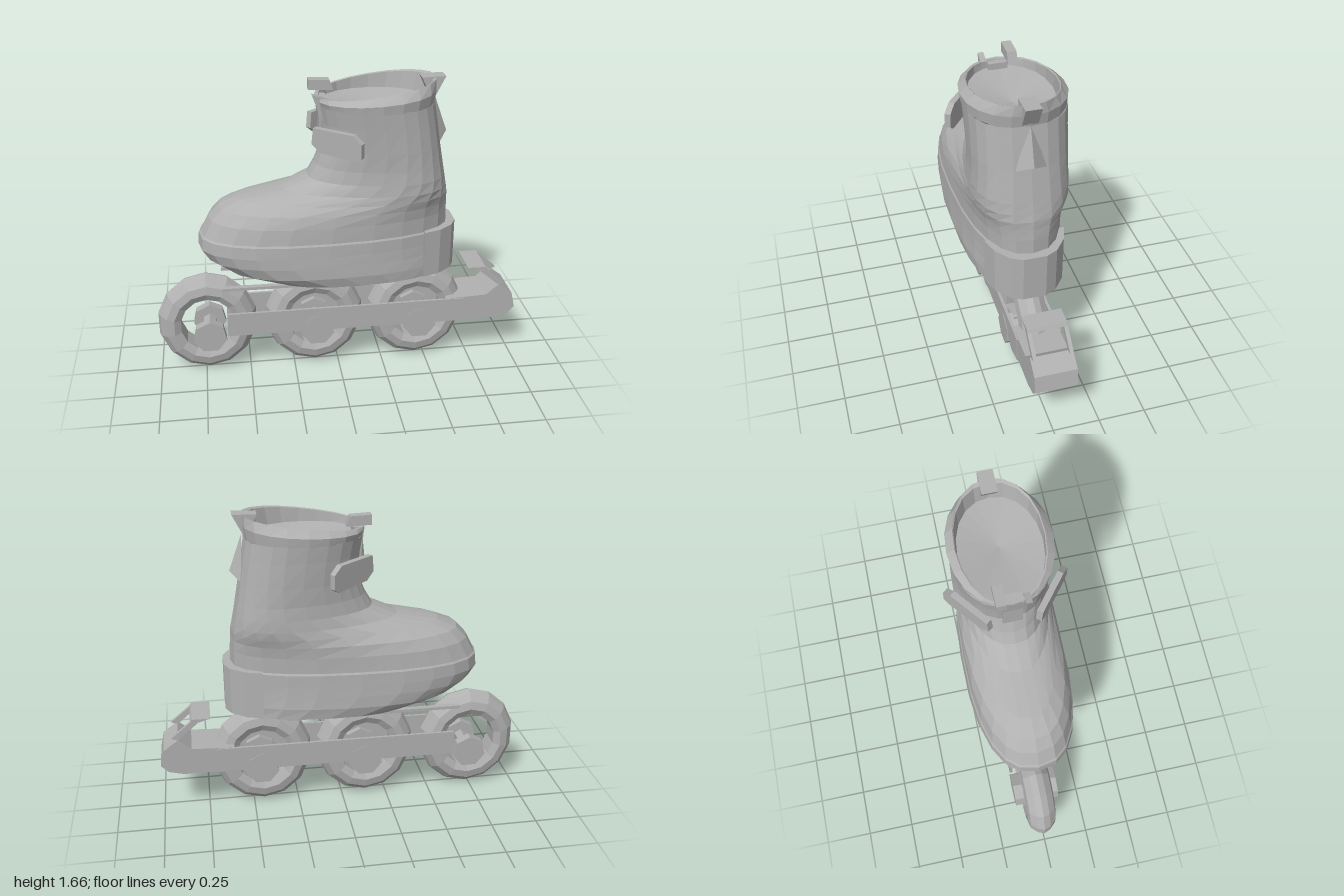
import * as THREE from 'three';
import { ConvexGeometry } from 'three/addons/geometries/ConvexGeometry.js';

const grey = new THREE.MeshStandardMaterial({ color: 0xb0b0b0 });
grey.name = 'plain grey';
grey.flatShading = true;
grey.side = THREE.DoubleSide;

const Z = -0.008; // the chassis centre line

function add(parent, name, geometry, x = 0, y = 0, z = 0) {
  const mesh = new THREE.Mesh(geometry, grey);
  mesh.name = name;
  mesh.position.set(x, y, z);
  parent.add(mesh);
  return mesh;
}

// Loft of rounded loops: [y, front x, back x, front half width, back half width, tilt]
function loft(rings, sides, power) {
  const pos = [], idx = [];
  const bend = (v) => Math.sign(v) * Math.abs(v) ** power;
  for (const [y, xf, xb, wf, wb, tilt = 0] of rings) {
    for (let j = 0; j < sides; j++) {
      const a = (j / sides) * Math.PI * 2;
      const c = bend(Math.cos(a)), s = bend(Math.sin(a));
      pos.push((xf + xb) / 2 + c * (xb - xf) / 2, y + tilt * c, s * (wf + (wb - wf) * (c + 1) / 2));
    }
  }
  for (let i = 0; i < rings.length - 1; i++) {
    for (let j = 0; j < sides; j++) {
      const k = (j + 1) % sides;
      const a = i * sides + j, b = i * sides + k, c = a + sides, d = b + sides;
      idx.push(a, c, b, b, c, d);
    }
  }
  const g = new THREE.BufferGeometry();
  g.setAttribute('position', new THREE.Float32BufferAttribute(pos, 3));
  g.setIndex(idx);
  g.computeVertexNormals();
  return g;
}

// Side profile in x and y, extruded along z and centred
function slab(points, depth) {
  const shape = new THREE.Shape(points.map(([x, y]) => new THREE.Vector2(x, y)));
  return new THREE.ExtrudeGeometry(shape, { depth, bevelEnabled: false }).translate(0, 0, -depth / 2);
}

function makeBoot() {
  const boot = new THREE.Group();
  boot.name = 'boot';

  // Sole, toe, instep and shaft
  add(boot, 'bootShell', loft([
    [0.595, 0.05, 0.1, 0.01, 0.01],
    [0.595, -0.4, 0.595, 0.28, 0.235],
    [0.655, -0.61, 0.605, 0.3, 0.25],
    [0.72, -0.71, 0.605, 0.3, 0.25],
    [0.78, -0.75, 0.605, 0.295, 0.25],
    [0.845, -0.745, 0.605, 0.29, 0.25],
    [0.855, -0.735, 0.597, 0.283, 0.245],
    [0.94, -0.69, 0.595, 0.27, 0.25],
    [1.0, -0.635, 0.59, 0.235, 0.27],
    [1.045, -0.53, 0.588, 0.18, 0.295],
    [1.09, -0.3, 0.578, 0.175, 0.295],
    [1.15, -0.165, 0.566, 0.185, 0.285],
    [1.22, -0.125, 0.553, 0.19, 0.275],
    [1.32, -0.085, 0.535, 0.21, 0.265],
    [1.45, -0.095, 0.515, 0.225, 0.26],
    [1.54, -0.11, 0.5, 0.235, 0.26],
  ], 24, 0.82));

  // Flared collar with the shallow opening inside
  add(boot, 'collar', loft([
    [1.535, -0.11, 0.5, 0.245, 0.265],
    [1.58, -0.12, 0.51, 0.25, 0.27, 0.02],
    [1.615, -0.12, 0.51, 0.215, 0.225, 0.04],
    [1.61, -0.1, 0.49, 0.21, 0.22, 0.035],
    [1.54, -0.09, 0.47, 0.21, 0.21],
    [1.5, 0.21, 0.22, 0.003, 0.003],
  ], 20, 0.95));

  // Heel cup
  const cup = new THREE.Shape([[0.44, 0.21], [0.53, 0.18], [0.605, 0.12], [0.635, 0.06],
    [0.635, -0.06], [0.605, -0.12], [0.53, -0.18], [0.44, -0.21]]
    .map(([x, z]) => new THREE.Vector2(x, z)));
  add(boot, 'heelCup', new THREE.ExtrudeGeometry(cup, { depth: 0.26, bevelEnabled: false })
    .rotateX(-Math.PI / 2), 0, 0.6, 0);

  // Pointed spoiler on the back of the shaft
  add(boot, 'backFin', new ConvexGeometry([
    [0.51, 1.545, 0], [0.578, 1.355, 0], [0.522, 1.315, 0.085], [0.522, 1.315, -0.085],
  ].map((p) => new THREE.Vector3(...p))));

  // Pull tab at the back, tongue tab and pointed flap at the front
  add(boot, 'backTab', slab([[0.43, 1.655], [0.555, 1.658], [0.5, 1.55], [0.47, 1.57]], 0.08));
  add(boot, 'tongueTab', slab([[-0.145, 1.59], [-0.145, 1.643], [-0.035, 1.638], [-0.015, 1.585]], 0.05), 0, 0, -0.065);
  add(boot, 'frontFlap', slab([[-0.14, 1.6], [-0.075, 1.58], [-0.085, 1.45]], 0.03), 0, 0, 0.07);
  add(boot, 'tongue', slab([[-0.115, 1.57], [-0.06, 1.57], [-0.05, 1.2], [-0.1, 1.3], [-0.1, 1.45]], 0.1));

  // Flared buckle levers, one on each side
  for (const side of [1, -1]) {
    const lever = slab([[-0.15, -0.02], [-0.14, 0.065], [0.09, 0.065], [0.14, 0.025],
      [0.14, -0.05], [0.11, -0.07], [-0.1, -0.06]], 0.032);
    add(boot, side > 0 ? 'leftBuckle' : 'rightBuckle', lever, -0.022, 1.38, side * 0.212)
      .rotation.y = -side * 0.67;
  }
  return boot;
}

function makeChassis() {
  const chassis = new THREE.Group();
  chassis.name = 'chassis';
  chassis.position.z = Z;

  for (const side of [1, -1]) {
    // Side rails, mounting strips and brake struts
    add(chassis, 'sideRail', slab([[-0.62, 0.25], [0.7, 0.25], [0.7, 0.39], [-0.62, 0.385]], 0.015), 0, 0, side * 0.1125);
    add(chassis, 'mountingStrip', new THREE.BoxGeometry(0.95, 0.016, 0.03), -0.165, 0.548, side * 0.122);
    add(chassis, 'brakeStrut', slab([[0.81, 0.572], [0.935, 0.468], [0.9, 0.455], [0.79, 0.55]], 0.02), 0, 0, side * 0.095);
  }
  add(chassis, 'brakePlate', slab([[0.72, 0.573], [0.82, 0.573], [0.83, 0.555], [0.78, 0.555]], 0.21));
  add(chassis, 'heelMount', new THREE.BoxGeometry(0.28, 0.02, 0.18), 0.45, 0.588, 0);

  // Brake block at the tail
  add(chassis, 'brakeBlock', slab([[0.7, 0.25], [0.88, 0.25], [0.96, 0.27], [1.0, 0.31],
    [0.98, 0.4], [0.9, 0.46], [0.83, 0.4], [0.6, 0.39], [0.6, 0.34], [0.7, 0.34]], 0.224));
  return chassis;
}

function makeWheel(x) {
  const wheel = new THREE.Group();
  wheel.name = 'wheel';
  wheel.position.set(x, 0.295, Z);

  // Tyre ring with a narrow running edge
  const profile = [[0.16, -0.06], [0.2, -0.08], [0.245, -0.07], [0.28, -0.035], [0.295, 0],
    [0.28, 0.035], [0.245, 0.07], [0.2, 0.08], [0.16, 0.06], [0.16, -0.06]]
    .map(([r, a]) => new THREE.Vector2(r, a));
  add(wheel, 'tyre', new THREE.LatheGeometry(profile, 14).rotateX(Math.PI / 2)).scale.x = 0.935;

  // Axle and the hub caps on its ends, flush with the rails
  add(wheel, 'axle', new THREE.CylinderGeometry(0.04, 0.04, 0.22, 6).rotateX(Math.PI / 2), 0.01, -0.045, 0);
  for (const side of [1, -1]) {
    add(wheel, 'hubCap', new THREE.CylinderGeometry(0.093, 0.093, 0.05, 7)
      .rotateX(-Math.PI / 2), 0.01, -0.045, side * 0.098);
  }
  return wheel;
}

export function createModel() {
  const skate = new THREE.Group();
  skate.name = 'inlineSkate';
  skate.add(makeBoot(), makeChassis());
  for (const x of [-0.728, -0.133, 0.443]) skate.add(makeWheel(x));
  return skate;
}
